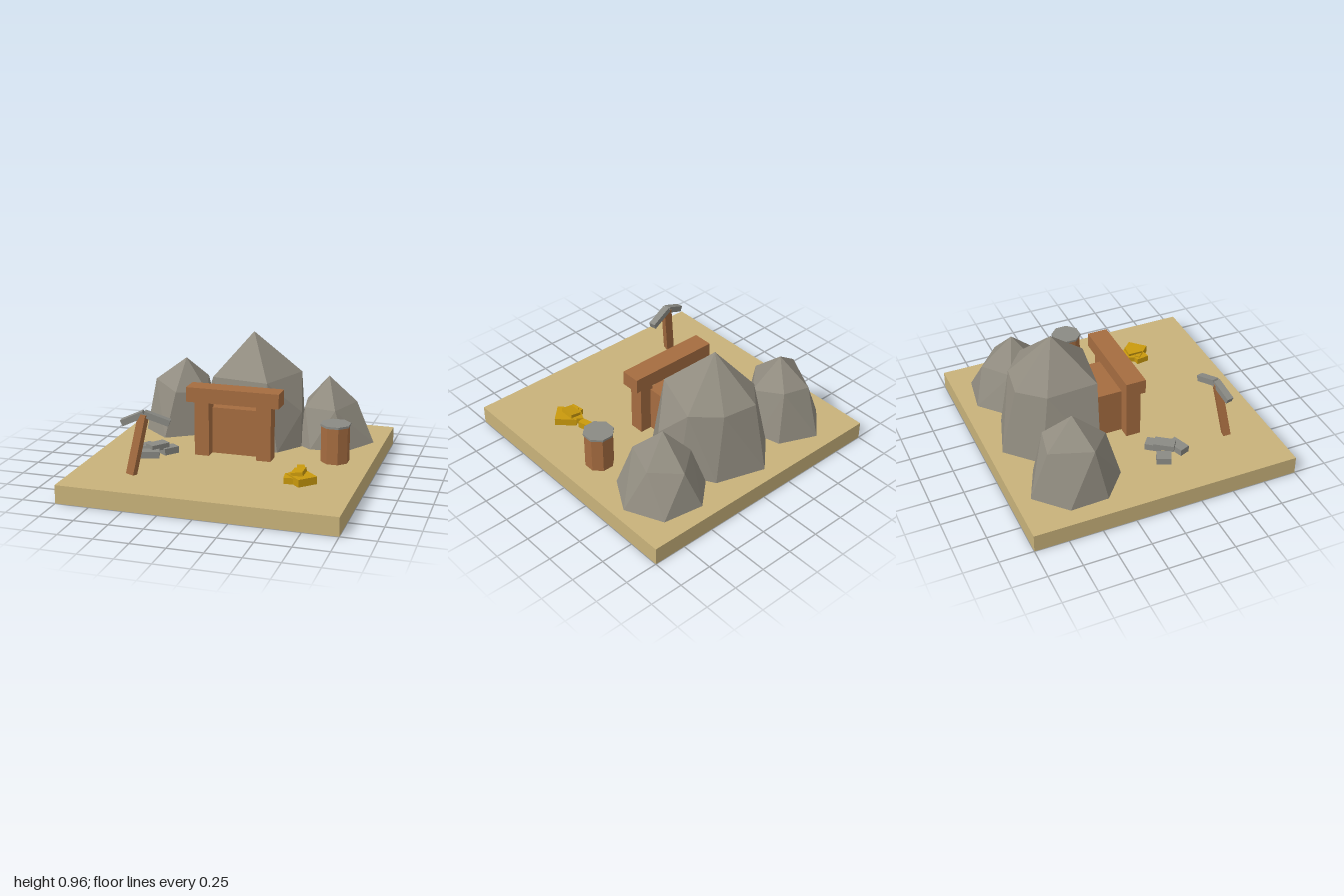
import * as THREE from 'three';
import { ConvexGeometry } from 'three/addons/geometries/ConvexGeometry.js';

const GROUND = 0.135;

export function createModel() {
  const mat = (name, color, extra = {}) => {
    const m = new THREE.MeshStandardMaterial({ color, ...extra });
    m.name = name;
    return m;
  };
  const sand = mat('sand', 0xc8b27a, { side: THREE.DoubleSide });
  const stone = mat('stone', 0x918c80, { flatShading: true });
  const wood = mat('wood', 0xa56c40, { flatShading: true });
  const metal = mat('metal', 0x8a8a84, { flatShading: true });
  const gold = mat('gold', 0xc9990c, { flatShading: true });

  const model = new THREE.Group();
  model.name = 'mine';
  const group = (name) => {
    const g = new THREE.Group();
    g.name = name;
    model.add(g);
    return g;
  };
  const add = (parent, name, geometry, material) => {
    const mesh = new THREE.Mesh(geometry, material);
    mesh.name = name;
    parent.add(mesh);
    return mesh;
  };
  const box = (parent, name, material, [w, h, d], [x, y, z], [rx, ry, rz] = [0, 0, 0]) => {
    const mesh = add(parent, name, new THREE.BoxGeometry(w, h, d), material);
    mesh.position.set(x, y, z);
    const r = THREE.MathUtils.degToRad;
    mesh.rotation.set(r(rx), r(ry), r(rz), 'YXZ');
    return mesh;
  };
  // Square bar running from a to b
  const bar = (parent, name, material, a, b, w, t, up = [0, 1, 0]) => {
    const from = new THREE.Vector3(...a), to = new THREE.Vector3(...b);
    const mesh = add(parent, name, new THREE.BoxGeometry(w, t, from.distanceTo(to)), material);
    mesh.up.set(...up);
    mesh.position.copy(from).add(to).multiplyScalar(0.5);
    mesh.lookAt(to);
    return mesh;
  };

  // Ground slab, hollow underneath: side walls and a top, no bottom
  const slab = new THREE.BoxGeometry(2, GROUND, 2);
  const index = Array.from(slab.index.array);
  index.splice(18, 6); // bottom face
  slab.setIndex(index);
  add(model, 'ground', slab, sand).position.y = GROUND / 2;

  // Faceted peaks: an apex, a shoulder ring and a ground outline
  const rock = (name, apex, shoulder, outline) => {
    const points = [apex, ...shoulder, ...outline.map(([x, z]) => [x, GROUND, z])];
    add(model, name, new ConvexGeometry(points.map((p) => new THREE.Vector3(...p))), stone);
  };
  rock('centrePeak', [0, 0.965, -0.465],
    [[0.35, 0.65, -0.58], [0.19, 0.65, -0.15], [-0.25, 0.65, -0.22], [-0.26, 0.64, -0.6],
      [-0.1, 0.64, -0.78], [0.16, 0.64, -0.74], [0.41, 0.4, -0.34]],
    [[-0.1, -0.9], [0.26, -0.785], [0.395, -0.545], [0.417, -0.315],
      [0.28, -0.12], [0, -0.125], [-0.417, -0.267], [-0.33, -0.68]]);
  rock('rightPeak', [-0.575, 0.7, -0.545],
    [[-0.8, 0.53, -0.47], [-0.66, 0.5, -0.76], [-0.45, 0.52, -0.72],
      [-0.38, 0.45, -0.47], [-0.58, 0.48, -0.3]],
    [[-0.647, -0.888], [-0.374, -0.77], [-0.33, -0.6], [-0.35, -0.4],
      [-0.64, -0.21], [-0.856, -0.396], [-0.866, -0.68]]);
  rock('leftPeak', [0.566, 0.635, -0.57],
    [[0.77, 0.43, -0.64], [0.66, 0.42, -0.36], [0.42, 0.42, -0.4],
      [0.38, 0.42, -0.65], [0.58, 0.42, -0.81]],
    [[0.49, -0.893], [0.79, -0.845], [0.92, -0.57], [0.77, -0.31],
      [0.497, -0.262], [0.4, -0.34], [0.3, -0.72]]);

  // Mine entrance
  const portal = group('mineEntrance');
  for (const side of [-1, 1]) {
    box(portal, side > 0 ? 'leftPost' : 'rightPost', wood, [0.11, 0.405, 0.11], [side * 0.235, 0.3375, 0.045]);
  }
  box(portal, 'lintel', wood, [0.7, 0.11, 0.15], [0, 0.595, 0.035]);
  box(portal, 'door', wood, [0.4, 0.35, 0.27], [0, 0.31, -0.12]);

  // Eight-sided barrel
  const barrel = group('barrel');
  barrel.position.set(0.73, 0, -0.07);
  barrel.rotation.y = Math.PI / 8;
  add(barrel, 'barrelBody', new THREE.CylinderGeometry(0.106, 0.106, 0.27, 8), wood).position.y = 0.27;
  add(barrel, 'barrelLid', new THREE.CylinderGeometry(0.113, 0.113, 0.016, 8), metal).position.y = 0.412;

  // Pickaxe standing in the ground
  const pick = group('pickaxe');
  bar(pick, 'handle', wood, [-0.565, 0.148, 0.665], [-0.487, 0.575, 0.605], 0.06, 0.055, [-0.2, 0, 0.98]);
  const crown = [-0.485, 0.58, 0.6];
  bar(pick, 'headArm', metal, crown, [-0.64, 0.51, 0.632], 0.052, 0.045);
  bar(pick, 'headArm', metal, crown, [-0.31, 0.517, 0.565], 0.052, 0.045);

  // Heaps of stone and gold: size, position, rotation in degrees
  const heap = (name, piece, material, pieces) => {
    const g = group(name);
    for (const p of pieces) box(g, piece, material, ...p);
  };
  heap('stoneHeap', 'stoneBlock', metal, [
    [[0.09, 0.05, 0.107], [-0.65, 0.165, 0.12], [0, -25, 0]],
    [[0.085, 0.05, 0.12], [-0.485, 0.162, 0.12], [0, -38, 0]],
    [[0.09, 0.045, 0.15], [-0.555, 0.2, 0.17], [0, -36, 0]],
    [[0.14, 0.05, 0.08], [-0.58, 0.168, 0.265], [0, 20, 0]],
  ]);
  heap('goldHeap', 'goldBar', gold, [
    [[0.055, 0.05, 0.115], [0.565, 0.162, 0.29], [0, 15, 0]],
    [[0.15, 0.055, 0.16], [0.615, 0.17, 0.465], [0, 45, 0]],
    [[0.07, 0.045, 0.1], [0.53, 0.165, 0.48], [0, 8, 0]],
    [[0.08, 0.045, 0.09], [0.575, 0.175, 0.4], [0, -25, 8]],
    [[0.085, 0.03, 0.115], [0.588, 0.208, 0.445], [0, 0, 10]],
  ]);

  return model;
}
